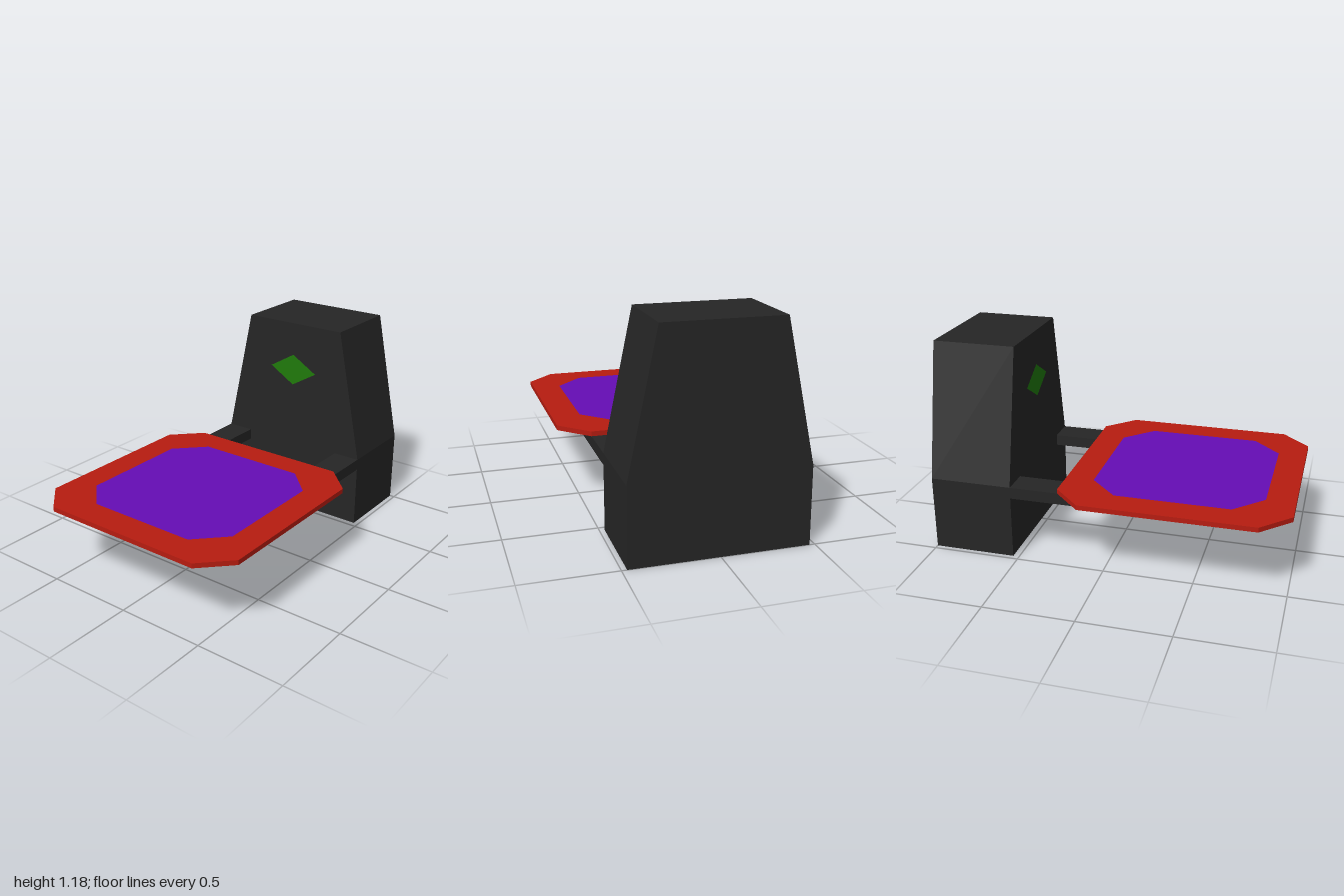
import * as THREE from 'three';

const paint = (color) => new THREE.MeshStandardMaterial({ color, flatShading: true });

function shapeOf(points) {
  return new THREE.Shape(points.map(([x, y]) => new THREE.Vector2(x, y)));
}

function extrude(points, depth) {
  return new THREE.ExtrudeGeometry(shapeOf(points), { depth, bevelEnabled: false });
}

// Rectangle with cut corners, centred on the origin
function octagon(hx, hy, cut) {
  return [
    [hx, -hy + cut], [hx, hy - cut], [hx - cut, hy], [-hx + cut, hy],
    [-hx, hy - cut], [-hx, -hy + cut], [-hx + cut, -hy], [hx - cut, -hy],
  ];
}

export function createModel() {
  const model = new THREE.Group();
  const black = paint(0x262626);

  function add(name, geometry, material) {
    const mesh = new THREE.Mesh(geometry, material);
    mesh.name = name;
    model.add(mesh);
    return mesh;
  }

  // Upright tower: side profile extruded along x
  const profile = [
    [-0.472, 0], [0.472, 0], [0.472, 0.425],
    [0.315, 1.18], [-0.315, 1.18], [-0.472, 0.425],
  ];
  const tower = add('tower', extrude(profile, 0.465), black);
  tower.rotation.y = Math.PI / 2;
  tower.position.x = 0.535;

  // Diamond panel on the tower's inner face
  const diamond = [[-0.157, 0], [0, -0.094], [0.157, 0], [0, 0.094]];
  const panel = add('diamondPanel', new THREE.ShapeGeometry(shapeOf(diamond)), paint(0x1f7a0a));
  panel.rotation.y = -Math.PI / 2;
  panel.position.set(0.532, 0.893, 0);

  // Two support rails with sloping tips
  const railSide = [[-0.84, 0.36], [0.535, 0.36], [0.535, 0.425], [-1, 0.425]];
  for (const [name, z] of [['frontRail', 0.315], ['backRail', -0.472]]) {
    add(name, extrude(railSide, 0.157), black).position.z = z;
  }

  // Platform with its coloured inlay
  const platform = add('platform', extrude(octagon(0.63, 0.63, 0.157), 0.027), paint(0xb71c10));
  platform.rotation.x = -Math.PI / 2;
  platform.position.set(-0.37, 0.425, 0);

  const inlay = add('platformInlay',
    new THREE.ShapeGeometry(shapeOf(octagon(0.472, 0.472, 0.157))), paint(0x650db5));
  inlay.rotation.x = -Math.PI / 2;
  inlay.position.set(-0.37, 0.454, 0);

  return model;
}
